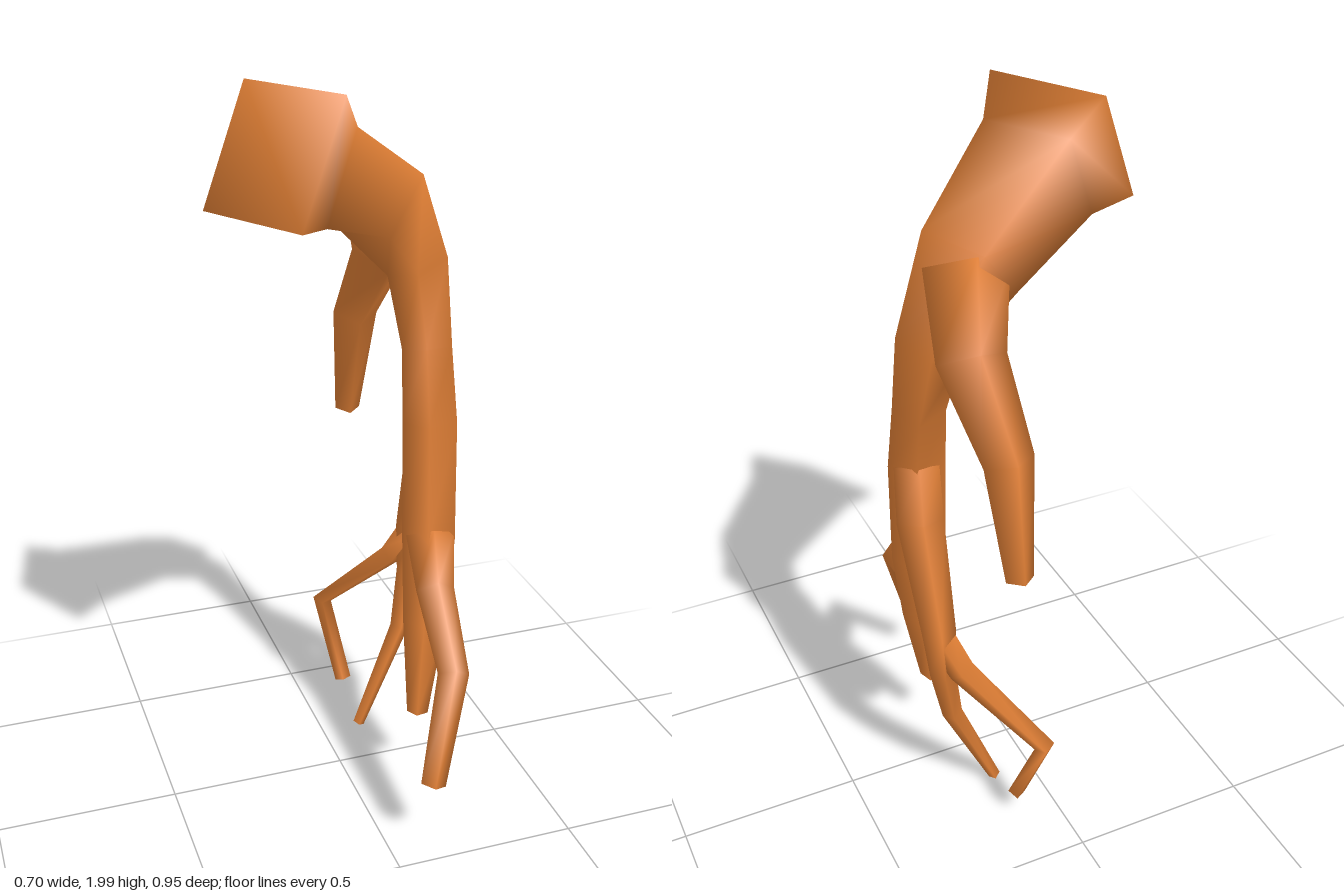
import * as THREE from 'three';

const material = new THREE.MeshStandardMaterial({ color: 0xe07f35 });

// Square limb skinned along nodes [x, y, z, halfWidth], capped, with smooth normals.
function limb(name, nodes) {
  const pts = nodes.map(([x, y, z]) => new THREE.Vector3(x, y, z));
  const last = pts.length - 1;
  const side = new THREE.Vector3(0.49, 0, 0.87);
  const positions = [];
  const index = [];
  pts.forEach((p, i) => {
    const dir = new THREE.Vector3();
    if (i > 0) dir.add(p.clone().sub(pts[i - 1]).normalize());
    if (i < last) dir.add(pts[i + 1].clone().sub(p).normalize());
    dir.normalize();
    // carry the frame along the path
    side.addScaledVector(dir, -side.dot(dir)).normalize();
    const up = dir.clone().cross(side);
    const h = nodes[i][3];
    for (const [a, b] of [[1, 1], [-1, 1], [-1, -1], [1, -1]]) {
      const c = p.clone().addScaledVector(side, a * h).addScaledVector(up, b * h);
      positions.push(c.x, c.y, c.z);
    }
    if (i === last) return;
    for (let j = 0; j < 4; j++) {
      const a = i * 4 + j, b = i * 4 + (j + 1) % 4;
      index.push(a, b, b + 4, a, b + 4, a + 4);
    }
  });
  const e = last * 4;
  index.push(0, 2, 1, 0, 3, 2, e, e + 1, e + 2, e, e + 2, e + 3);
  const geometry = new THREE.BufferGeometry();
  geometry.setAttribute('position', new THREE.Float32BufferAttribute(positions, 3));
  geometry.setIndex(index);
  geometry.computeVertexNormals();
  const mesh = new THREE.Mesh(geometry, material);
  mesh.name = name;
  return mesh;
}

export function createModel() {
  const root = new THREE.Group();
  root.name = 'branchingRoot';
  root.add(
    // flared stump, bending down into the main stem and its front finger
    limb('mainStem', [
      [-0.2, 1.84, 0.095, 0.167], [-0.107, 1.786, 0.043, 0.125], [0.15, 1.65, -0.115, 0.096],
      [0.265, 1.46, -0.13, 0.06], [0.27, 1.25, -0.06, 0.048], [0.265, 1.05, -0.015, 0.053],
      [0.25, 0.72, 0.035, 0.052], [0.225, 0.48, 0.08, 0.042], [0.195, 0.21, 0.12, 0.021],
    ]),
    // short branch at the back of the bend
    limb('backBranch', [
      [0.17, 1.65, -0.14, 0.075], [0.215, 1.48, -0.265, 0.062],
      [0.178, 1.26, -0.39, 0.046], [0.172, 0.945, -0.44, 0.026],
    ]),
    // finger reaching forward, then down
    limb('frontFinger', [
      [0.25, 0.74, 0.045, 0.048], [0.235, 0.61, 0.13, 0.038],
      [0.193, 0.49, 0.37, 0.03], [0.115, 0.2, 0.442, 0.024],
    ]),
    // rear stem splitting off the main stem, thinning to a point
    limb('rearStem', [
      [0.275, 1.07, -0.04, 0.042], [0.29, 0.93, -0.09, 0.044], [0.295, 0.64, -0.21, 0.032],
      [0.285, 0.5, -0.2, 0.025], [0.25, 0.32, -0.175, 0.02], [0.115, 0.008, -0.16, 0.012],
    ]),
    // hooked finger at the back
    limb('hookedFinger', [
      [0.293, 0.63, -0.205, 0.028], [0.25, 0.53, -0.25, 0.026],
      [0.078, 0.32, -0.405, 0.02], [0.115, 0.078, -0.31, 0.017],
    ]),
  );
  return root;
}
